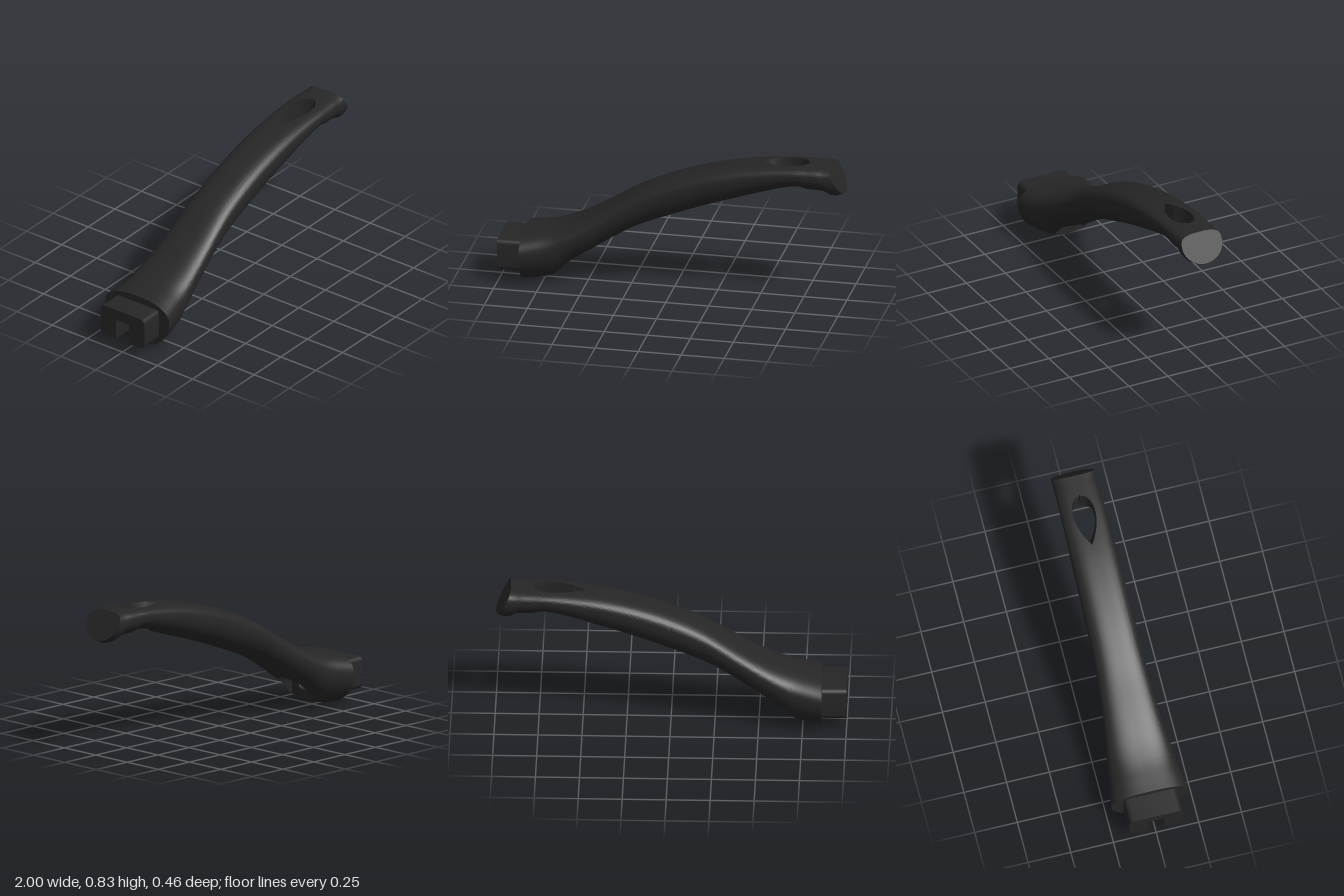
import * as THREE from 'three';
import { toCreasedNormals } from 'three/addons/utils/BufferGeometryUtils.js';

// Side profiles as [station, value]
const TOP = [[-.86, .308], [-.8, .318], [-.7, .338], [-.6, .372], [-.5, .42], [-.4, .477], [-.2, .6], [0, .69],
  [.2, .755], [.4, .799], [.6, .822], [.75, .83], [.91, .834]];
const BOTTOM = [[-.86, .004], [-.8, .01], [-.74, .022], [-.68, .045], [-.6, .118], [-.55, .157], [-.47, .21], [-.4, .258],
  [-.3, .322], [-.2, .378], [0, .46], [.2, .535], [.4, .602], [.6, .667], [.7, .691], [.74, .693],
  [.78, .681], [.84, .677], [.86, .66], [.88, .652], [.91, .67]];
const WIDTH = [[-.86, .228], [-.8, .218], [-.7, .201], [-.6, .186], [-.4, .16], [-.2, .145], [0, .14], [.4, .135], [.8, .128], [.91, .127]];

// Smooth interpolation through a profile
function at(table, u) {
  const last = table.length - 1;
  let i = 0;
  while (i < last - 1 && u > table[i + 1][0]) i++;
  const slope = k => {
    const a = table[Math.max(k - 1, 0)], b = table[Math.min(k + 1, last)];
    return (b[1] - a[1]) / (b[0] - a[0]);
  };
  const [x0, y0] = table[i], [x1, y1] = table[i + 1], h = x1 - x0, t = (u - x0) / h;
  return y0 * (1 + 2 * t) * (1 - t) ** 2 + slope(i) * h * t * (1 - t) ** 2
    + y1 * t * t * (3 - 2 * t) + slope(i + 1) * h * t * t * (t - 1);
}

// Half width of the teardrop hanging hole
function holeHalf(u, start, end) {
  const k = (u - start) / (end - start);
  return k <= 0 || k >= 1 ? 0 : .163 * k ** .9 * Math.sqrt(1 - k);
}

const STEP_X = -.68, POCKET = .09, POCKET_Y = .13, BORE_Y = .14, PLUG_X = -.86, END = .91;
const pocketRoof = z => POCKET_Y + Math.sqrt(Math.max(0, POCKET ** 2 - z * z));

// The tip is cut on a slant: lower points lean outward
function leanX(u, y) {
  const top = at(TOP, u), bottom = at(BOTTOM, u);
  return u + .085 * Math.max(0, (u - .78) / (END - .78)) * (top - y) / (top - bottom);
}

// Half cross-section as [z, y], from the top centre around the side to the bottom centre
function halfSection(u, carved) {
  const top = at(TOP, u), bottom = at(BOTTOM, u), w = at(WIDTH, u);
  const mid = bottom + .62 * (top - bottom), n = 2.5 + .7 * (u + .86) / 1.77;
  const zTop = holeHalf(u, .49, .785), zLow = holeHalf(u, .56, .78);
  const upper = z => mid + (top - mid) * Math.max(0, 1 - (z / w) ** n) ** (1 / n);
  const lower = z => mid - (mid - bottom) * Math.sqrt(Math.max(0, 1 - (z / w) ** 2));
  const spread = (a, b, t) => a + (b - a) * Math.sin(t * Math.PI / 2);
  const pts = [];
  for (let j = 0; j <= 20; j++) {
    const z = spread(zTop, w, j / 20);
    pts.push([z, j === 20 ? mid : upper(z)]);
  }
  for (let j = 11; j >= 0; j--) {
    const z = spread(POCKET, w, j / 12);
    pts.push([z, lower(z)]);
  }
  for (let j = 12; j >= 0; j--) {
    const z = spread(zLow, POCKET, j / 12);
    pts.push([z, carved ? Math.max(lower(z), pocketRoof(z)) : lower(z)]);
  }
  return pts;
}

// Skin both mirrored halves; the last strip of each loop is the wall of the hanging hole
function loft(stations, carved) {
  const pos = [];
  const rings = stations.map(u => halfSection(u, carved).map(([z, y]) => new THREE.Vector3(leanX(u, y), y, z)));
  const area = new THREE.Vector3(), e = new THREE.Vector3();
  const tri = (a, b, c) => {
    if (area.subVectors(b, a).cross(e.subVectors(c, a)).length() < 1e-9) return;
    if (Math.max(a.z, b.z, c.z) < 1e-5) return;
    for (const p of [a, b, c]) pos.push(p.x, p.y, p.z);
    for (const p of [a, c, b]) pos.push(p.x, p.y, -p.z);
  };
  for (let i = 0; i < rings.length - 1; i++) {
    const A = rings[i], B = rings[i + 1];
    for (let j = 0; j < A.length; j++) {
      const k = (j + 1) % A.length;
      tri(A[j], A[k], B[j]);
      tri(A[k], B[k], B[j]);
    }
  }
  const g = new THREE.BufferGeometry();
  g.setAttribute('position', new THREE.Float32BufferAttribute(pos, 3));
  return toCreasedNormals(g, .7);
}

function range(a, b, step, extra = []) {
  const n = Math.round((b - a) / step), list = [...extra];
  for (let i = 0; i <= n; i++) list.push(a + (b - a) * i / n);
  return list.sort((p, q) => p - q);
}

// Flat face across the handle, looking along +x or -x
function face(points, dir, u, holeRadius) {
  const shape = new THREE.Shape(points.map(([z, y]) => new THREE.Vector2(z, y)));
  if (holeRadius) shape.holes.push(new THREE.Path().absarc(0, BORE_Y, holeRadius, 0, Math.PI * 2, true));
  const g = new THREE.ShapeGeometry(shape, 24).rotateY(dir * Math.PI / 2);
  const p = g.attributes.position;
  for (let i = 0; i < p.count; i++) p.setX(i, leanX(u, p.getY(i)));
  g.computeVertexNormals();
  return g;
}

function outline(u) {
  const half = halfSection(u, false);
  return [...half, ...half.slice(1, -1).reverse().map(([z, y]) => [-z, y])];
}

export function createModel() {
  const black = new THREE.MeshStandardMaterial({ color: 0x262626, side: THREE.DoubleSide });
  black.name = 'matte black';
  const model = new THREE.Group();
  model.name = 'panHandle';
  const add = (name, geometry) => {
    const mesh = new THREE.Mesh(geometry, black);
    mesh.name = name;
    model.add(mesh);
  };

  // Grip body: solid socket, then the grip with the screw pocket and hanging hole
  add('socketBody', loft(range(PLUG_X, STEP_X, .015), false));
  add('grip', loft(range(STEP_X, END, .0125, [.4902, .493, .5602, .562, .565, .774, .777, .779, .7798, .782, .7848]), true));
  add('slantedTip', face(outline(END), 1, END));
  add('socketFace', face(outline(PLUG_X), -1, PLUG_X, .027));

  // Back wall of the screw pocket: arch above, body edge below
  const edge = halfSection(STEP_X, false).slice(-13);
  const arch = [];
  for (let i = 0; i <= 24; i++) {
    const a = Math.PI * i / 24;
    arch.push([POCKET * Math.cos(a), POCKET_Y + POCKET * Math.sin(a)]);
  }
  const wall = [...arch, ...edge.map(([z, y]) => [-z, y]), ...edge.slice(0, -1).reverse()];
  add('pocketWall', face(wall, 1, STEP_X, .04));

  // Stepped screw bore
  const bore = [[.04, STEP_X], [.04, STEP_X - .03], [.027, STEP_X - .03], [.027, PLUG_X]];
  const lathe = new THREE.LatheGeometry(bore.map(([r, x]) => new THREE.Vector2(r, x)), 32);
  lathe.rotateZ(-Math.PI / 2).translate(0, BORE_Y, 0);
  add('screwBore', toCreasedNormals(lathe, .7));

  // Mounting plug with a channel open below
  const lo = .077, hi = .266, w = .156, c = .035, ch = .046, roof = .2;
  const plug = new THREE.Shape();
  plug.moveTo(ch, lo);
  plug.lineTo(w - c, lo);
  plug.quadraticCurveTo(w, lo, w, lo + c);
  plug.lineTo(w, hi - c);
  plug.quadraticCurveTo(w, hi, w - c, hi);
  plug.lineTo(c - w, hi);
  plug.quadraticCurveTo(-w, hi, -w, hi - c);
  plug.lineTo(-w, lo + c);
  plug.quadraticCurveTo(-w, lo, c - w, lo);
  plug.lineTo(-ch, lo);
  plug.lineTo(-ch, roof);
  plug.lineTo(ch, roof);
  plug.closePath();
  const plugGeo = new THREE.ExtrudeGeometry(plug, { depth: .142, bevelEnabled: false, curveSegments: 8 });
  plugGeo.rotateY(Math.PI / 2).translate(-1, 0, 0);
  add('mountingPlug', toCreasedNormals(plugGeo, .6));

  return model;
}
